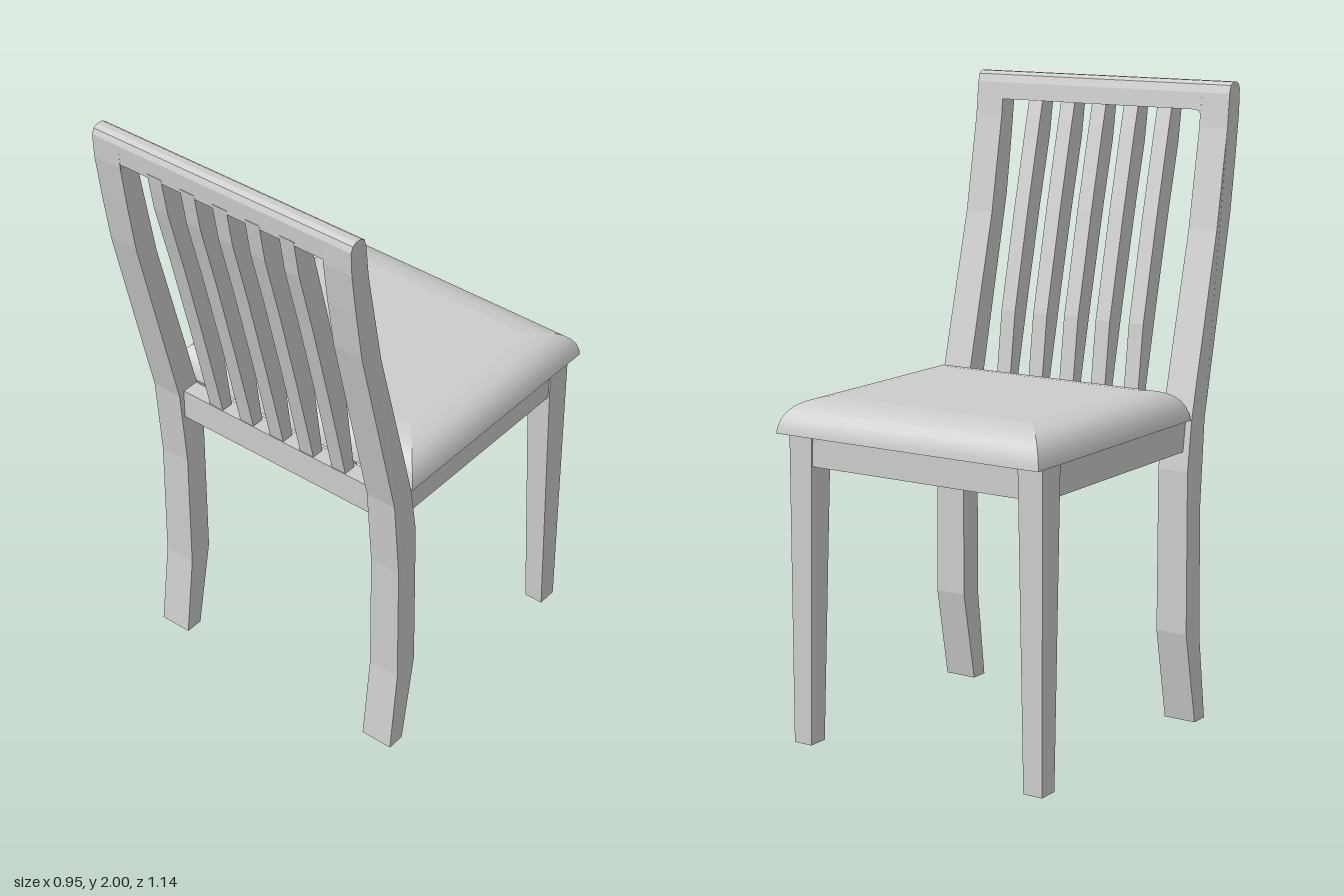
import * as THREE from 'three';

const material = new THREE.MeshStandardMaterial({ color: 0xcccccc });

function add(parent, name, geometry) {
  const mesh = new THREE.Mesh(geometry, material);
  mesh.name = name;
  parent.add(mesh);
  return mesh;
}

// Extrudes a side profile of [z, y] points from x0 to x1
function sideProfile(points, x0, x1) {
  const shape = new THREE.Shape(points.map(([z, y]) => new THREE.Vector2(z, y)));
  const geo = new THREE.ExtrudeGeometry(shape, { depth: x1 - x0, bevelEnabled: false });
  return geo.rotateY(-Math.PI / 2).translate(x1, 0, 0);
}

// Box given by its lower and upper corners
function box(x0, x1, y0, y1, z0, z1) {
  return new THREE.BoxGeometry(x1 - x0, y1 - y0, z1 - z0)
    .translate((x0 + x1) / 2, (y0 + y1) / 2, (z0 + z1) / 2);
}

// Cushion: rectangular rings stepping inwards, with mitred corners
function cushionGeometry() {
  const rings = [[0, 0.98], [0.003, 1.0], [0.012, 1.025], [0.026, 1.045], [0.045, 1.062],
    [0.07, 1.074], [0.1, 1.082], [0.14, 1.086]];
  const corners = ([inset, y]) => {
    const x = 0.47 - inset * 0.83, z0 = -0.57 + inset, z1 = 0.285 - inset;
    return [[-x, y, z1], [x, y, z1], [x, y, z0], [-x, y, z0]];
  };
  const pos = [], index = [];
  for (let side = 0; side < 4; side++) {
    rings.forEach((ring, i) => {
      const c = corners(ring), a = pos.length / 3;
      pos.push(...c[side], ...c[(side + 1) % 4]);
      if (i < rings.length - 1) index.push(a, a + 1, a + 3, a, a + 3, a + 2);
    });
  }
  // top and underside
  const top = pos.length / 3;
  pos.push(...corners(rings[rings.length - 1]).flat(), ...corners(rings[0]).flat());
  index.push(top, top + 1, top + 2, top, top + 2, top + 3);
  index.push(top + 4, top + 6, top + 5, top + 4, top + 7, top + 6);
  const geo = new THREE.BufferGeometry();
  geo.setAttribute('position', new THREE.Float32BufferAttribute(pos, 3));
  geo.setIndex(index);
  geo.computeVertexNormals();
  return geo;
}

export function createModel() {
  const chair = new THREE.Group();
  chair.name = 'chair';

  add(chair, 'seatCushion', cushionGeometry());

  // Curved back legs that continue up as the backrest posts
  const post = [[0.385, 0], [0.35, 0.28], [0.348, 0.7], [0.37, 0.97], [0.52, 1.6], [0.545, 1.76],
    [0.564, 1.9], [0.567, 1.975], [0.56, 1.993], [0.545, 2], [0.525, 2], [0.51, 1.99], [0.503, 1.965],
    [0.492, 1.86], [0.435, 1.55], [0.33, 1.14], [0.29, 0.98], [0.267, 0.82], [0.267, 0.3], [0.325, 0]];
  for (const side of [-1, 1]) {
    const geo = sideProfile(post, side < 0 ? -0.467 : 0.368, side < 0 ? -0.368 : 0.467);
    // slight flare of the outer face towards the floor
    const p = geo.attributes.position;
    for (let i = 0; i < p.count; i++) {
      if (Math.abs(p.getX(i)) > 0.4) p.setX(i, side * (0.467 + 0.01 * Math.max(0, 1 - p.getY(i) / 1.6)));
    }
    geo.computeVertexNormals();
    add(chair, side < 0 ? 'rightBackPost' : 'leftBackPost', geo);
  }

  // Top rail with rounded upper edge
  const rail = [[0.564, 1.912], [0.567, 1.975], [0.56, 1.993], [0.545, 2], [0.525, 2], [0.51, 1.99],
    [0.503, 1.965], [0.497, 1.912]];
  add(chair, 'topRail', sideProfile(rail, -0.37, 0.37));

  // Rounded inner corner where the rail meets one post
  const fillet = new THREE.Shape();
  fillet.moveTo(-0.37, 1.914);
  fillet.lineTo(-0.37, 1.885);
  fillet.quadraticCurveTo(-0.368, 1.912, -0.34, 1.912);
  fillet.lineTo(-0.34, 1.914);
  add(chair, 'railFillet', new THREE.ExtrudeGeometry(fillet, { depth: 0.06, bevelEnabled: false })
    .translate(0, 0, 0.5));

  // Five curved back slats
  const slat = [[0.345, 0.97], [0.365, 1.06], [0.42, 1.3], [0.49, 1.59], [0.545, 1.8], [0.566, 1.925],
    [0.505, 1.925], [0.485, 1.85], [0.418, 1.58], [0.342, 1.25], [0.305, 0.97]];
  for (const x of [-0.237, -0.115, 0.003, 0.12, 0.242]) {
    add(chair, 'backSlat', sideProfile(slat, x - 0.026, x + 0.026));
  }

  // Rails under the seat
  add(chair, 'backRail', box(-0.37, 0.37, 0.88, 0.98, 0.292, 0.35));
  add(chair, 'frontRail', box(-0.4, 0.4, 0.88, 0.982, -0.52, -0.46));
  for (const side of [-1, 1]) {
    const a = side * 0.395, b = side * 0.45;
    add(chair, 'sideRail', box(Math.min(a, b), Math.max(a, b), 0.88, 0.982, -0.48, 0.3));
  }

  // Front legs, tapered on their inner faces
  for (const side of [-1, 1]) {
    const geo = box(-0.0425, 0.0425, 0, 0.982, -0.525, -0.432);
    const p = geo.attributes.position;
    for (let i = 0; i < p.count; i++) {
      const low = p.getY(i) < 0.5;
      if (low && p.getX(i) * side < 0) p.setX(i, -side * 0.022);
      if (low && p.getZ(i) > -0.5) p.setZ(i, -0.458);
    }
    geo.computeVertexNormals();
    add(chair, side < 0 ? 'rightFrontLeg' : 'leftFrontLeg', geo).position.x = side * 0.4125;
  }
  return chair;
}
